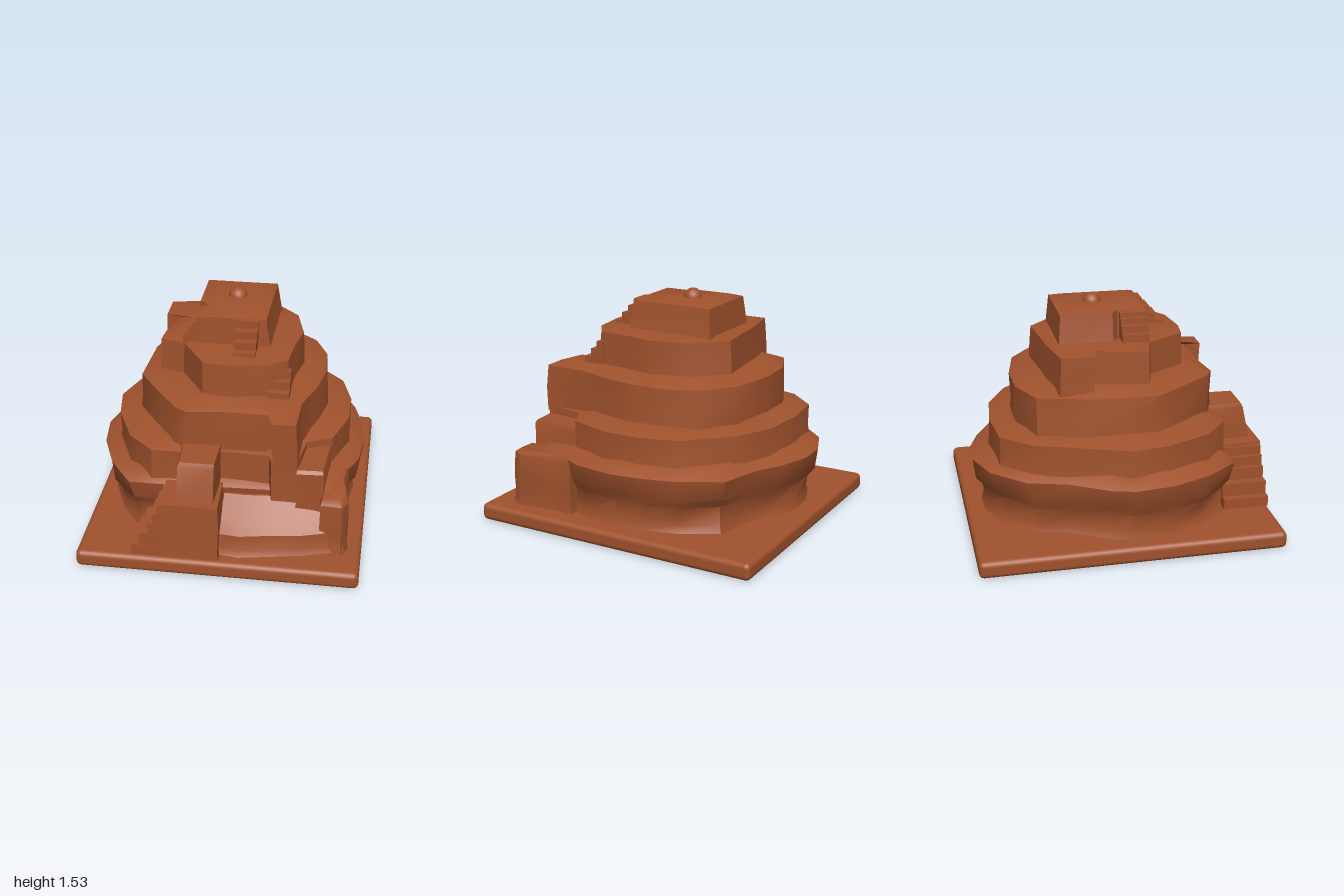
import * as THREE from 'three';
import { toCreasedNormals } from 'three/addons/utils/BufferGeometryUtils.js';
import { RoundedBoxGeometry } from 'three/addons/geometries/RoundedBoxGeometry.js';

const clay = new THREE.MeshStandardMaterial({ color: 0xa0522d });
clay.name = 'clay';

// Lofts an (x, z) outline through sections [y, scaleX, scaleZ, wobble] about a pivot, capped at both ends
function loftGeometry(outline, sections, [px, pz] = [0, 0]) {
  const pts = outline.map(([x, z]) => new THREE.Vector2(x, z));
  if (THREE.ShapeUtils.area(pts) < 0) pts.reverse();
  const n = pts.length, pos = [], idx = [];
  for (const [y, sx, sz = sx, wobble = 0] of sections) {
    pts.forEach((p, i) => {
      const w = 1 + wobble * Math.sin(i * 2.3 + y * 9);
      pos.push(px + (p.x - px) * sx * w, y + wobble * 0.5 * Math.sin(i * 1.7), pz + (p.y - pz) * sz * w);
    });
  }
  for (let s = 0; s < sections.length - 1; s++) {
    for (let i = 0; i < n; i++) {
      const a = s * n + i, b = s * n + (i + 1) % n;
      idx.push(a, a + n, b, b, a + n, b + n);
    }
  }
  const top = (sections.length - 1) * n;
  for (const [a, b, c] of THREE.ShapeUtils.triangulateShape(pts, [])) {
    idx.push(a, b, c, top + a, top + c, top + b);
  }
  const geo = new THREE.BufferGeometry();
  geo.setAttribute('position', new THREE.Float32BufferAttribute(pos, 3));
  geo.setIndex(idx);
  return toCreasedNormals(geo, 0.65);
}

export function createModel() {
  const model = new THREE.Group();
  const add = (name, geo, parent = model) => {
    const mesh = new THREE.Mesh(geo, clay);
    mesh.name = name;
    parent.add(mesh);
    return mesh;
  };
  const loft = (name, outline, sections, pivot) => add(name, loftGeometry(outline, sections, pivot));
  const block = (name, [x0, x1], [y0, y1], [z0, z1], parent) => {
    add(name, new THREE.BoxGeometry(x1 - x0, y1 - y0, z1 - z0), parent)
      .position.set((x0 + x1) / 2, (y0 + y1) / 2, (z0 + z1) / 2);
  };
  const group = (name) => {
    const g = new THREE.Group();
    g.name = name;
    model.add(g);
    return g;
  };

  // Base slab
  add('baseSlab', new RoundedBoxGeometry(1.82, 0.115, 2, 3, 0.035)).position.y = 0.0575;

  // Lowest rock tier, undercut above its foot
  loft('rockTier', [
    [-0.89, 0], [-0.85, -0.15], [-0.7, -0.4], [-0.63, -0.65], [-0.43, -0.86], [-0.2, -0.95], [0, -0.95],
    [0.2, -0.88], [0.4, -0.77], [0.65, -0.7], [0.79, -0.45], [0.86, -0.2], [0.88, 0], [0.85, 0.25],
    [0.78, 0.4], [0.72, 0.66], [0.55, 0.7], [0.3, 0.69], [0, 0.7], [-0.3, 0.72], [-0.6, 0.72],
    [-0.76, 0.5], [-0.86, 0.25],
  ], [[0.13, 0.93], [0.18, 0.91, 0.91, 0.008], [0.3, 0.92, 0.92, 0.015], [0.36, 0.97, 0.97, 0.015],
    [0.5, 1], [0.56, 0.88]]);

  // Second tier
  loft('secondTier', [
    [-0.79, 0], [-0.75, 0.25], [-0.62, 0.53], [-0.45, 0.68], [-0.25, 0.68], [0, 0.64], [0.3, 0.65],
    [0.32, 0.72], [0.48, 0.72], [0.52, 0.45], [0.68, 0.38], [0.77, 0.1], [0.77, -0.15], [0.7, -0.4],
    [0.45, -0.66], [0.2, -0.79], [-0.1, -0.82], [-0.4, -0.79], [-0.58, -0.6], [-0.64, -0.4], [-0.72, -0.2],
  ], [[0.45, 1.02], [0.6, 1, 1, 0.012], [0.73, 1], [0.77, 0.82]]);

  // Third tier with the projecting pier at its front
  loft('thirdTier', [
    [-0.59, 0], [-0.6, 0.2], [-0.46, 0.4], [-0.31, 0.6], [-0.23, 0.65], [0, 0.62], [0.32, 0.62],
    [0.32, 0.73], [0.47, 0.73], [0.48, 0.45], [0.56, 0.22], [0.6, 0], [0.59, -0.25], [0.5, -0.45],
    [0.3, -0.61], [0, -0.67], [-0.25, -0.66], [-0.48, -0.56], [-0.53, -0.38], [-0.58, -0.2],
  ], [[0.7, 1.035, 1], [0.86, 1.015, 1, 0.012], [1.01, 1], [1.05, 0.82]]);

  // Fourth tier with the square rear corner and side notch
  loft('fourthTier', [
    [-0.5, -0.4], [-0.5, -0.19], [-0.39, -0.17], [-0.46, 0.06], [-0.47, 0.17], [-0.31, 0.21], [-0.15, 0.46],
    [0, 0.48], [0.24, 0.45], [0.38, 0.36], [0.4, 0.15], [0.44, -0.05], [0.38, -0.3], [0.19, -0.49],
    [0, -0.47], [-0.22, -0.45],
  ], [[0.98, 1.03], [1.12, 1.015, 1.015, 0.01], [1.265, 1], [1.28, 0.8]]);

  // Summit block and knob
  loft('summitBlock', [
    [-0.24, -0.36], [0.23, -0.36], [0.22, 0.21], [-0.19, 0.21], [-0.19, 0.02], [-0.24, -0.02],
  ], [[1.24, 1.17, 1.05], [1.29, 1.12, 1.04], [1.462, 1], [1.48, 0.8]]);
  const knob = add('summitKnob', new THREE.SphereGeometry(0.062, 20, 12));
  knob.position.set(-0.005, 1.473, -0.11);

  // Gate platform at the front left with the tapered gatehouse on it
  loft('gatePlatform', [[-0.37, 0.6], [0.01, 0.6], [0.02, 0.99], [-0.35, 0.99]],
    [[0.13, 1], [0.18, 0.97, 0.99], [0.4, 1.01, 0.99], [0.52, 0.97, 0.97]], [-0.17, 0.6]);
  loft('gatehouse', [[-0.27, 0.55], [-0.01, 0.55], [-0.02, 0.93], [-0.25, 0.93]],
    [[0.5, 1], [0.74, 1, 0.86], [0.77, 0.96, 0.82]], [-0.02, 0.55]);

  // Worn ground spilling out at the front right, hollowed above
  loft('frontSlope', [
    [0, 0.55], [0, 0.93], [0.14, 0.95], [0.35, 0.91], [0.55, 0.87], [0.7, 0.82], [0.8, 0.8], [0.8, 0.55],
  ], [[0.14, 1], [0.18, 0.98, 0.94], [0.28, 0.98, 0.92, 0.006], [0.34, 0.96, 0.72], [0.46, 0.9, 0.4]], [0.2, 0.55]);

  // Corner buttress and ledge at the front right
  loft('cornerButtress', [[0.62, 0.35], [0.64, 0.8], [0.78, 0.81], [0.82, 0.74], [0.79, 0.5], [0.8, 0.35]],
    [[0.13, 1.04], [0.2, 0.98], [0.32, 1], [0.48, 0.96], [0.51, 0.8]], [0.7, 0.55]);
  loft('sideLedge', [[0.48, 0.35], [0.48, 0.73], [0.65, 0.72], [0.68, 0.35]],
    [[0.3, 1.05, 1], [0.66, 1], [0.68, 0.95]], [0.5, 0.4]);

  // Entrance stairs climbing sideways to the gate platform
  const entrance = group('entranceStairs');
  [[-0.54, 0.2], [-0.49, 0.29], [-0.43, 0.37], [-0.4, 0.44], [-0.37, 0.5]].forEach(([x, y], i) =>
    block('entranceStep', [x, -0.3], [0.13, y], [0.68, 0.985 - i * 0.003], entrance));

  // Upper stairs, each step shorter than the one below
  const flight = (name, [x0, x1], [y0, y1], [z0, z1], steps) => {
    const g = group(name);
    for (let i = 0; i < steps; i++) {
      block(name + 'Step', [x0, x1], [y0, y0 + (y1 - y0) * (i + 1) / steps],
        [z0, z1 - (z1 - z0) * i / steps], g);
    }
  };
  flight('terraceStairs', [0.26, 0.4], [0.98, 1.2], [0.34, 0.53], 4);
  flight('summitStairs', [0.03, 0.17], [1.25, 1.46], [0.19, 0.38], 4);

  // Side stairs on the left of the summit
  const side = group('sideStairs');
  [[-0.32, 1.33], [-0.29, 1.38], [-0.26, 1.42], [-0.23, 1.45]].forEach(([x, y]) =>
    block('sideStep', [x, -0.17], [1.25, y], [0.03, 0.205], side));

  return model;
}
